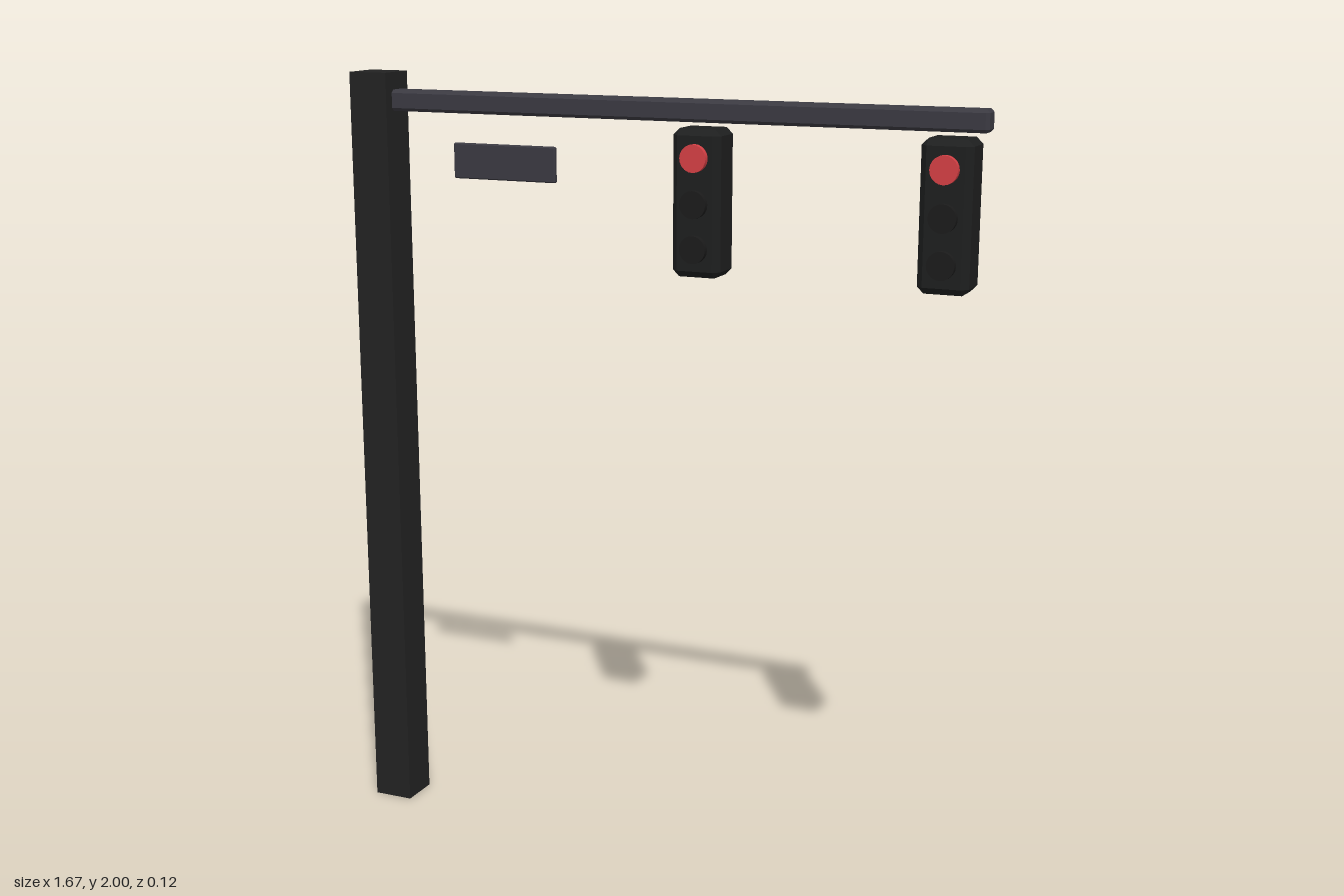
import * as THREE from 'three';
import { ConvexGeometry } from 'three/addons/geometries/ConvexGeometry.js';

function material(name, color) {
  const m = new THREE.MeshStandardMaterial({ color });
  m.name = name;
  return m;
}

// Box with every edge cut by a flat chamfer b
function chamferBox(w, h, d, b) {
  const points = [];
  for (const x of [-1, 1]) for (const y of [-1, 1]) for (const z of [-1, 1]) {
    for (let full = 0; full < 3; full++) {
      const cut = [b, b, b];
      cut[full] = 0;
      points.push(new THREE.Vector3(x * (w / 2 - cut[0]), y * (h / 2 - cut[1]), z * (d / 2 - cut[2])));
    }
  }
  return new ConvexGeometry(points);
}

export function createModel() {
  const model = new THREE.Group();
  model.name = 'trafficSignalMast';

  const poleBlack = material('pole black', 0x222222);
  const steelGrey = material('steel grey', 0x3b3a42);
  const housingBlack = material('housing black', 0x1e1f1f);
  const lensDark = material('unlit lens', 0x1b1b1b);
  const lensRed = material('red lens', 0xd64045);

  function add(parent, name, geometry, mat, x, y, z) {
    const mesh = new THREE.Mesh(geometry, mat);
    mesh.name = name;
    mesh.position.set(x, y, z);
    parent.add(mesh);
    return mesh;
  }

  // Square upright and the arm reaching out from its top
  add(model, 'pole', new THREE.BoxGeometry(0.107, 2, 0.107), poleBlack, -0.785, 1, -0.0075);
  add(model, 'arm', chamferBox(1.576, 0.054, 0.054, 0.008), steelGrey, 0.045, 1.929, -0.009);

  // Blank street sign plate beneath the arm
  add(model, 'signPlate', chamferBox(0.288, 0.09, 0.015, 0.003), steelGrey, -0.421, 1.781, -0.009);

  // Two signal heads, each with the top lens lit
  const housing = chamferBox(0.125, 0.36, 0.106, 0.016);
  const lens = new THREE.CylinderGeometry(0.034, 0.034, 0.03, 20).rotateX(Math.PI / 2);
  for (const x of [0.123, 0.743]) {
    const signal = new THREE.Group();
    signal.name = 'signalHead';
    signal.position.set(x, 1.709, -0.008);
    model.add(signal);
    add(signal, 'housing', housing, housingBlack, 0, 0, 0);
    add(signal, 'redLens', lens, lensRed, 0, 0.111, 0.053);
    add(signal, 'middleLens', lens, lensDark, 0, 0, 0.053);
    add(signal, 'bottomLens', lens, lensDark, 0, -0.109, 0.053);
  }
  return model;
}
